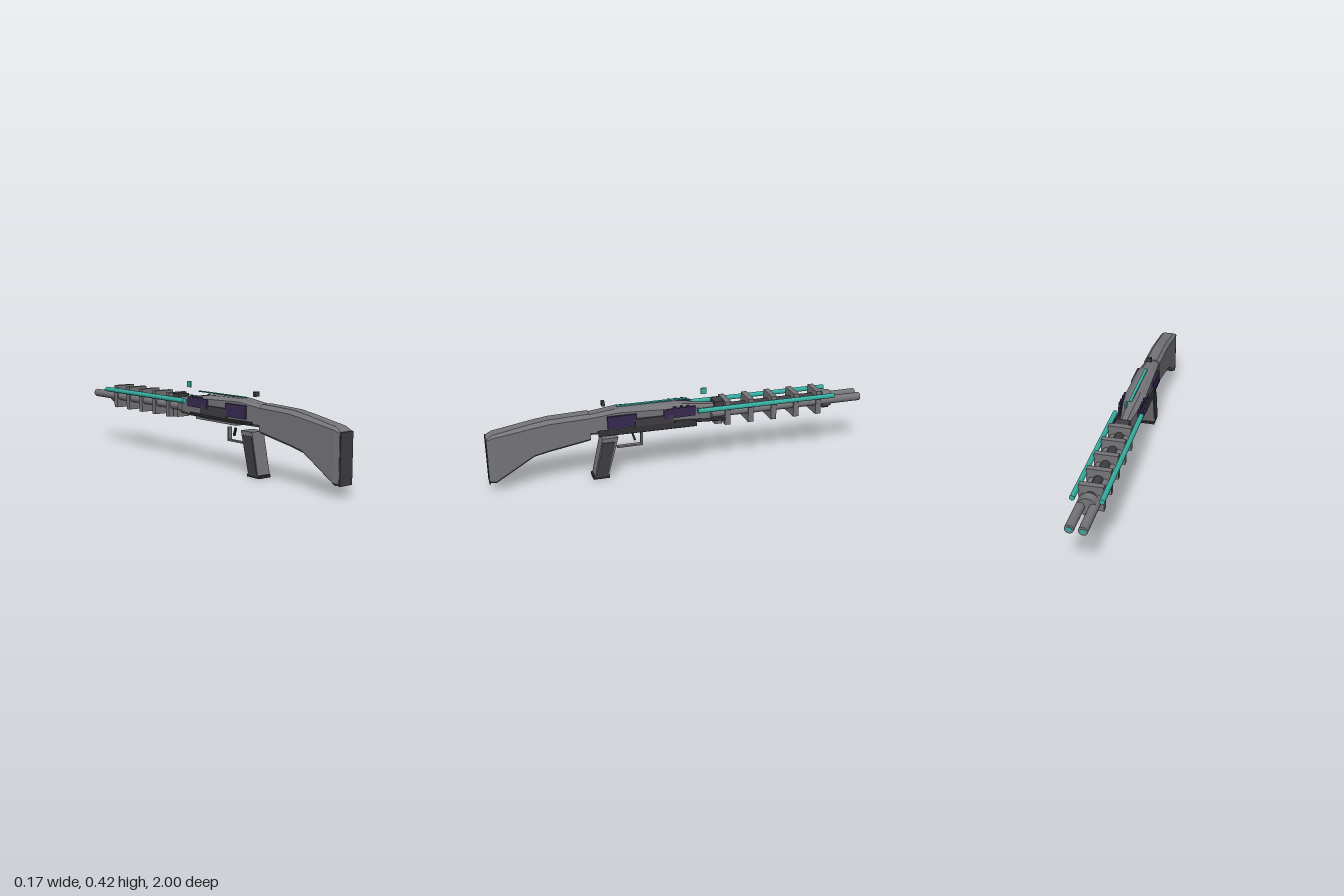
import * as THREE from 'three';

const mat = (name, color, extra = {}) => {
  const m = new THREE.MeshStandardMaterial({ color, ...extra });
  m.name = name;
  return m;
};

export function createModel() {
  const grey = mat('gunmetal grey', 0x757579);
  const dark = mat('dark grey', 0x3f3d43);
  const black = mat('near black', 0x2c2c2e);
  const purple = mat('deep purple', 0x382a52);
  const teal = mat('teal', 0x36b0a2);
  const group = new THREE.Group();

  const add = (name, geo, material, x = 0, y = 0, z = 0) => {
    const mesh = new THREE.Mesh(geo, material);
    mesh.name = name;
    mesh.position.set(x, y, z);
    group.add(mesh);
    return mesh;
  };
  const box = (name, material, w, h, d, x, y, z) =>
    add(name, new THREE.BoxGeometry(w, h, d), material, x, y, z);
  const rod = (name, material, r, z0, z1, x, y, sides = 16) =>
    add(name, new THREE.CylinderGeometry(r, r, Math.abs(z1 - z0), sides).rotateX(Math.PI / 2), material, x, y, (z0 + z1) / 2);

  // Chamfered loft: sections are [z, halfWidth, top, bottom, chamferX, chamferY], rear to muzzle
  const loft = (sections) => {
    const rings = sections.map(([z, w, t, b, cx, cy]) => [
      [w, b + 0.012, z], [w, t - cy, z], [w - cx, t, z], [cx - w, t, z],
      [-w, t - cy, z], [-w, b + 0.012, z], [0.012 - w, b, z], [w - 0.012, b, z],
    ]);
    const p = [];
    const tri = (a, b, c) => p.push(...a, ...b, ...c);
    for (let i = 0; i < rings.length - 1; i++) {
      for (let j = 0; j < 8; j++) {
        const k = (j + 1) % 8, A = rings[i], B = rings[i + 1];
        tri(A[j], B[j], B[k]);
        tri(A[j], B[k], A[k]);
      }
    }
    const first = rings[0], last = rings[rings.length - 1];
    for (let j = 1; j < 7; j++) {
      tri(first[0], first[j], first[j + 1]);
      tri(last[0], last[j + 1], last[j]);
    }
    const g = new THREE.BufferGeometry();
    g.setAttribute('position', new THREE.Float32BufferAttribute(p, 3));
    g.computeVertexNormals();
    return g;
  };

  // Shoulder stock and butt pad
  add('stock', loft([
    [0.995, 0.041, 0.292, 0.054, 0.006, 0.006],
    [0.965, 0.045, 0.31, 0.052, 0.015, 0.012],
    [0.77, 0.045, 0.345, 0.17, 0.018, 0.018],
    [0.69, 0.045, 0.356, 0.187, 0.018, 0.018],
    [0.485, 0.045, 0.363, 0.222, 0.018, 0.018],
  ]), grey);
  box('buttPad', dark, 0.078, 0.238, 0.006, 0, 0.172, 0.997);

  // Receiver, swelling in the middle and tapering forward
  add('receiver', loft([
    [0.487, 0.041, 0.358, 0.25, 0.018, 0.015],
    [0.34, 0.05, 0.376, 0.25, 0.024, 0.015],
    [0.1, 0.055, 0.371, 0.25, 0.028, 0.018],
    [0, 0.047, 0.361, 0.25, 0.025, 0.018],
    [-0.1, 0.032, 0.347, 0.25, 0.016, 0.018],
    [-0.19, 0.022, 0.337, 0.255, 0.01, 0.012],
  ]), grey);
  box('receiverFloor', grey, 0.08, 0.02, 0.32, 0, 0.25, 0.15);

  // Side panels, clips, rails and barrels, mirrored
  for (const s of [1, -1]) {
    box('rearPanel', purple, 0.012, 0.066, 0.15, s * 0.056, 0.315, 0.325);
    box('middlePanel', dark, 0.012, 0.05, 0.2, s * 0.058, 0.296, 0.16);
    box('frontPanel', purple, 0.01, 0.05, 0.17, s * 0.056, 0.328, 0.025).rotation.y = s * 0.05;
    box('lowerStrip', black, 0.01, 0.012, 0.48, s * 0.052, 0.266, 0.2);
    for (let i = 0; i < 3; i++) {
      box('railClip', purple, 0.012, 0.014, 0.014, s * 0.056, 0.355, 0.05 - i * 0.035);
    }
    rod('sideRail', teal, 0.0135, -0.07, -0.83, s * 0.068, 0.329, 8);
    rod('barrel', grey, 0.022, -0.15, -0.998, s * 0.031, 0.292, 20);
    rod('muzzleBore', teal, 0.012, -0.997, -1, s * 0.031, 0.292, 16);
  }

  // Central tube, barrel brackets and front clamp
  rod('centreTube', dark, 0.024, -0.15, -0.82, 0, 0.305);
  for (let i = 0; i < 5; i++) {
    box('barrelBracket', grey, 0.118, 0.128, 0.03, 0, 0.293, -0.236 - i * 0.128);
  }
  rod('frontClamp', grey, 0.046, -0.785, -0.832, 0, 0.292, 24);
  box('clampFoot', dark, 0.04, 0.018, 0.035, 0, 0.253, -0.808);
  box('barrelBlock', dark, 0.07, 0.085, 0.05, 0, 0.312, -0.195);
  box('blockFoot', grey, 0.08, 0.04, 0.04, 0, 0.252, -0.19);

  // Operating lever along the left side
  const lever = box('lever', black, 0.014, 0.03, 0.51, 0.069, 0.266, 0.195);
  lever.rotation.set(0, -0.015, 0.5);
  rod('leverRod', black, 0.009, 0.05, -0.22, 0.058, 0.272, 8).rotation.x = -0.06;

  // Sights and top strip
  box('rearSight', dark, 0.028, 0.024, 0.016, 0, 0.402, 0.41);
  box('frontSight', teal, 0.008, 0.032, 0.03, 0, 0.409, -0.121);
  box('topStrip', teal, 0.016, 0.005, 0.37, 0, 0.379, 0.155);

  // Raked grip: an extruded side profile in (z, y)
  const side = (points, width) => {
    const shape = new THREE.Shape(points.map(([z, y]) => new THREE.Vector2(-z, y)));
    return new THREE.ExtrudeGeometry(shape, { depth: width, bevelEnabled: false })
      .translate(0, 0, -width / 2).rotateY(Math.PI / 2);
  };
  add('grip', side([[0.47, 0.015], [0.4, 0.015], [0.343, 0.222], [0.425, 0.222]], 0.076), grey);
  add('gripPanels', side([[0.466, 0.018], [0.405, 0.018], [0.36, 0.2], [0.425, 0.2]], 0.084), dark);
  box('gripBase', black, 0.076, 0.014, 0.086, 0, 0.008, 0.436);

  // Trigger and guard
  box('guardBar', grey, 0.022, 0.008, 0.135, 0, 0.154, 0.277);
  box('guardPost', grey, 0.022, 0.07, 0.01, 0, 0.186, 0.214);
  box('trigger', black, 0.01, 0.042, 0.01, 0, 0.2, 0.255).rotation.x = 0.3;

  return group;
}
